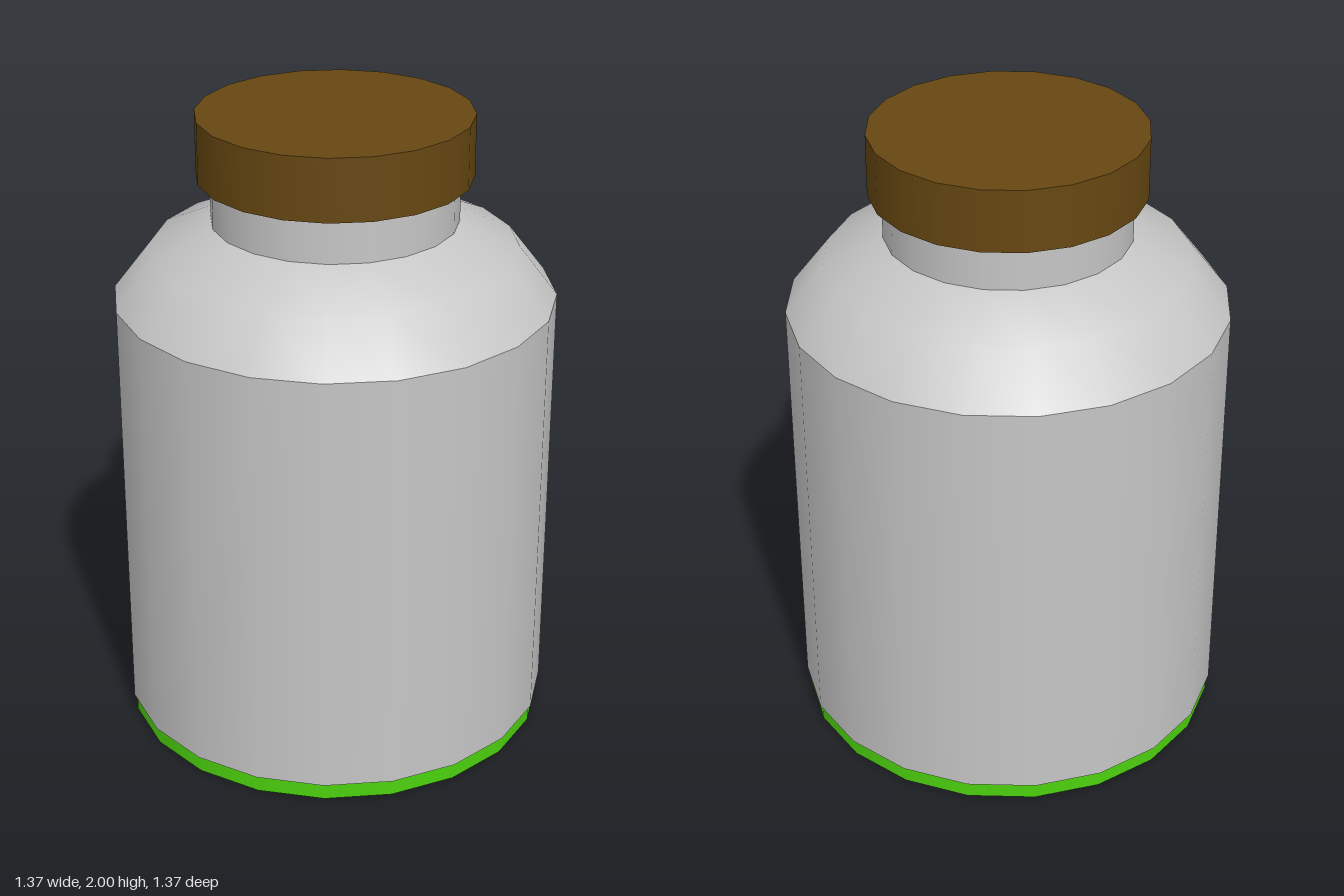
import * as THREE from 'three';

const SIDES = 20;

export function createModel() {
  const jar = new THREE.Group();
  jar.name = 'jar';

  const glass = new THREE.MeshStandardMaterial({ color: 0xc6c6c6 });
  glass.name = 'pale grey';
  const brown = new THREE.MeshStandardMaterial({ color: 0x664711 });
  brown.name = 'brown';
  const green = new THREE.MeshStandardMaterial({ color: 0x4cd20e });
  green.name = 'green';

  const add = (name, geometry, material, y = 0) => {
    const mesh = new THREE.Mesh(geometry, material);
    mesh.name = name;
    mesh.position.y = y;
    jar.add(mesh);
  };
  // Upright drum between two heights
  const drum = (name, radius, y0, y1, material, open = false) =>
    add(name, new THREE.CylinderGeometry(radius, radius, y1 - y0, SIDES, 1, open), material, (y0 + y1) / 2);

  // Green foot, slightly narrower than the body
  drum('base', 0.675, 0, 0.055, green);

  // Straight wall with a closed underside
  drum('body', 0.684, 0.055, 1.425, glass);

  // Rounded shoulder, smooth from wall to neck
  const profile = [[0.684, 1.425], [0.565, 1.58], [0.38, 1.663]].map(([r, y]) => new THREE.Vector2(r, y));
  add('shoulder', new THREE.LatheGeometry(profile, SIDES), glass);

  // Neck and lid
  drum('neck', 0.38, 1.663, 1.805, glass, true);
  drum('lid', 0.422, 1.805, 2, brown);

  return jar;
}
